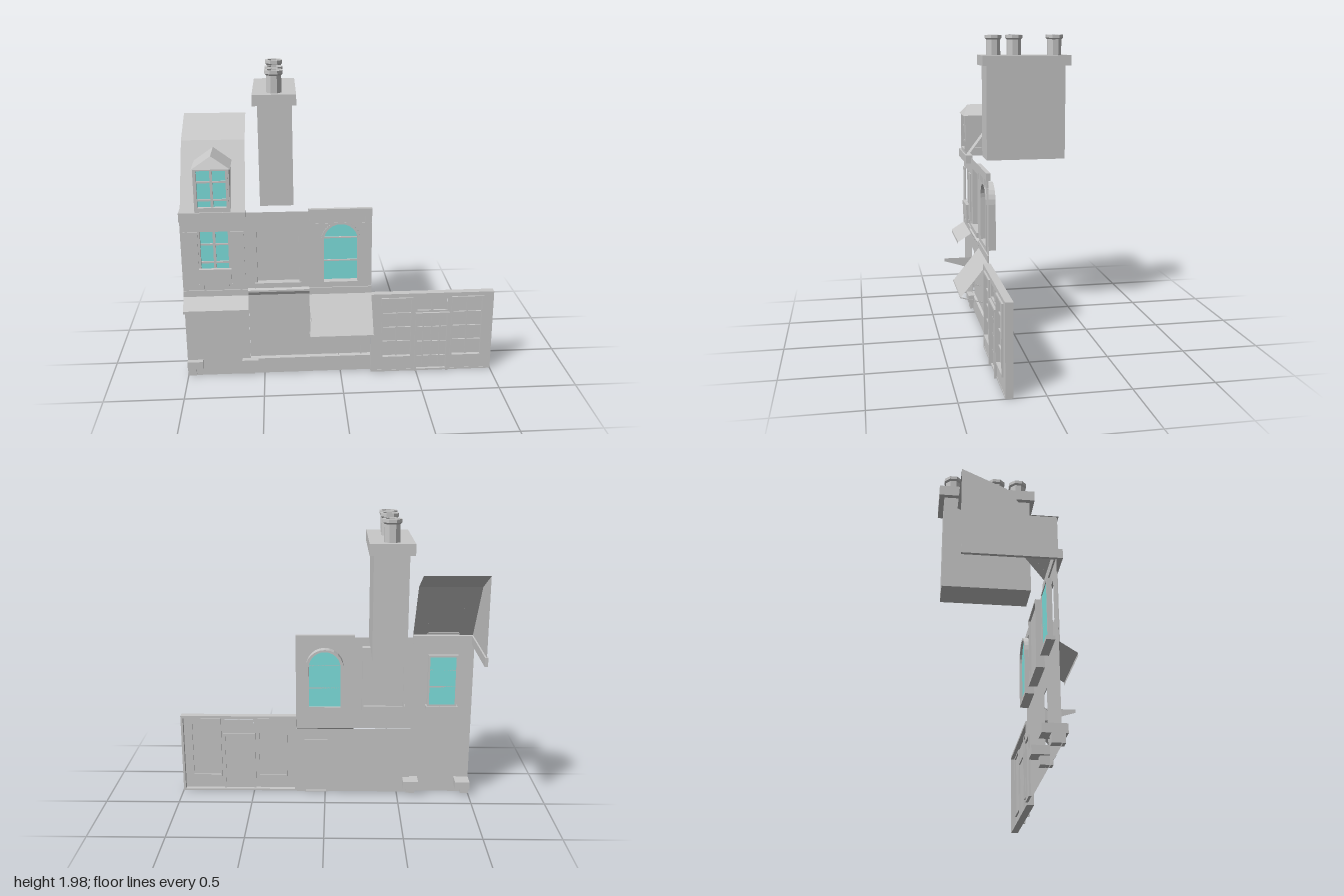
import * as THREE from 'three';

const grey = new THREE.MeshStandardMaterial({ color: 0xc8c8c8, side: THREE.DoubleSide });
grey.name = 'plaster grey';
const cyan = new THREE.MeshStandardMaterial({ color: 0x7fe3e0, side: THREE.DoubleSide });
cyan.name = 'glass cyan';

const WALL = 0.2;

function add(parent, name, geo, mat = grey) {
  const m = new THREE.Mesh(geo, mat);
  m.name = name;
  parent.add(m);
  return m;
}

// box given by its extents
function box(parent, name, x0, x1, y0, y1, z0, z1, mat) {
  const m = add(parent, name, new THREE.BoxGeometry(x1 - x0, y1 - y0, z1 - z0), mat);
  m.position.set((x0 + x1) / 2, (y0 + y1) / 2, (z0 + z1) / 2);
  return m;
}

function path(Type, pts) {
  return new Type(pts.map(p => new THREE.Vector2(p[0], p[1])));
}
const rectPts = (x0, x1, y0, y1) => [[x0, y0], [x1, y0], [x1, y1], [x0, y1]];

// rectangle with a half-round head
function archPts(cx, r, y0, spring) {
  const pts = [[cx - r, y0], [cx + r, y0]];
  for (let i = 0; i <= 12; i++) {
    const a = Math.PI * i / 12;
    pts.push([cx + r * Math.cos(a), spring + r * Math.sin(a)]);
  }
  return pts;
}

function slab(parent, name, outer, holes, z0, z1, mat) {
  const s = path(THREE.Shape, outer);
  s.holes = holes.map(h => path(THREE.Path, h));
  const geo = new THREE.ExtrudeGeometry(s, { depth: z1 - z0, bevelEnabled: false });
  return add(parent, name, geo.translate(0, 0, z0), mat);
}

function sheet(parent, name, outer, holes, z, mat) {
  const s = path(THREE.Shape, outer);
  s.holes = holes.map(h => path(THREE.Path, h));
  return add(parent, name, new THREE.ShapeGeometry(s).translate(0, 0, z), mat);
}

// flat convex faces, each a list of corners
function faces(parent, name, polys) {
  const p = [];
  for (const q of polys)
    for (let i = 1; i < q.length - 1; i++) p.push(...q[0], ...q[i], ...q[i + 1]);
  const g = new THREE.BufferGeometry();
  g.setAttribute('position', new THREE.Float32BufferAttribute(p, 3));
  g.computeVertexNormals();
  return add(parent, name, g);
}

// glazing bars: vertical xs and horizontal ys
function bars(parent, x0, x1, y0, y1, z, xs, ys, t = 0.006) {
  xs.forEach(x => box(parent, 'verticalBar', x - t, x + t, y0, y1, z, z + 0.012));
  ys.forEach(y => box(parent, 'horizontalBar', x0, x1, y - t * 0.7, y + t * 0.7, z, z + 0.01));
}

function casement(parent, x0, x1, y0, y1, z, ys) {
  const g = new THREE.Group();
  g.name = 'casementWindow';
  parent.add(g);
  sheet(g, 'glass', rectPts(x0, x1, y0, y1), [], z, cyan);
  slab(g, 'windowFrame', rectPts(x0 - 0.012, x1 + 0.012, y0 - 0.012, y1 + 0.012), [rectPts(x0, x1, y0, y1)], z - 0.005, z + 0.025);
  bars(g, x0, x1, y0, y1, z, [(x0 + x1) / 2], ys, 0.008);
}

function facade(root) {
  const g = new THREE.Group();
  g.name = 'facade';
  root.add(g);
  sheet(g, 'mainWall',
    [[-1, 0], [-0.59, 0], [-0.59, 0.47], [0.2, 0.47], [0.2, 1.13], [-0.2, 1.13], [-0.2, 1.12], [-0.59, 1.12], [-0.59, 1.08], [-1, 1.08]],
    [rectPts(-0.885, -0.7, 0.65, 1), rectPts(-0.53, -0.26, 0.63, 1.05), archPts(0.003, 0.12, 0.63, 0.92)], WALL);
  sheet(g, 'shopWall', rectPts(-0.59, 0.2, 0, 0.47), [], 0.185);
  faces(g, 'plinth', [
    [[-0.59, 0, 0.197], [0.2, 0, 0.197], [0.2, 0.105, 0.197], [-0.59, 0.105, 0.197]],
    [[-0.59, 0.105, 0.197], [0.2, 0.105, 0.197], [0.2, 0.118, 0.185], [-0.59, 0.118, 0.185]]]);
  slab(g, 'shopDoor', rectPts(-0.015, 0.142, 0, 0.39), [rectPts(-0.007, 0.134, 0.01, 0.38)], 0.173, 0.19);

  // left house window with shutters and planter
  casement(g, -0.88, -0.705, 0.66, 0.995, 0.165, [0.785, 0.905]);
  box(g, 'windowLedge', -0.9, -0.685, 0.625, 0.648, 0.15, 0.21);
  for (const x of [-0.983, -0.695]) box(g, 'shutter', x, x + 0.09, 0.655, 1, WALL, 0.208);
  box(g, 'planter', -0.893, -0.69, 0.65, 0.755, WALL, 0.226);
  for (const x of [-0.875, -0.72]) box(g, 'planterBracket', x - 0.012, x + 0.012, 0.615, 0.65, WALL, 0.222);

  // blind window in the middle house
  sheet(g, 'blindPanel', rectPts(-0.53, -0.26, 0.63, 1.05), [], 0.165);
  slab(g, 'blindFrame', rectPts(-0.54, -0.25, 0.63, 1.06), [rectPts(-0.528, -0.262, 0.64, 1.05)], 0.15, WALL);
  box(g, 'blindSill', -0.545, -0.25, 0.615, 0.648, 0.147, 0.213);

  // arched window
  sheet(g, 'archGlass', archPts(0.003, 0.108, 0.64, 0.925), [], 0.158, cyan);
  slab(g, 'archFrame', archPts(0.003, 0.127, 0.62, 0.92), [archPts(0.003, 0.107, 0.643, 0.925)], 0.143, 0.206);
  bars(g, -0.104, 0.11, 0.64, 1.03, 0.158, [], [0.775, 0.93]);

  // string courses and shop fascia
  box(g, 'stringCourse', -1, -0.59, 0.565, 0.605, WALL, 0.207);
  box(g, 'stringCourse', -0.2, 0.2, 0.56, 0.605, WALL, 0.208);
  const fascia = [[0.2, 0.47], [0.204, 0.47], [0.204, 0.565], [0.216, 0.588], [0.216, 0.6], [0.2, 0.612]];
  const f = fascia.map(([z, y]) => [[-0.59, y, z], [-0.2, y, z]]);
  faces(g, 'shopFascia', f.slice(1).map((b, i) => [f[i][0], f[i][1], b[1], b[0]]));

  // battlement cornice
  box(g, 'rightCornice', -0.2, 0.2, 1.085, 1.135, 0.187, 0.214);
  for (let i = 0; i < 7; i++) {
    const x = -0.195 + i * 0.0585;
    box(g, 'dentil', x, x + 0.038, 1.04, 1.085, WALL, 0.21);
  }
  box(g, 'corniceMoulding', -0.2, 0.2, 1.03, 1.04, WALL, 0.206);

  // stone guards at the wall base
  for (const [x0, x1, a, b] of [[-1, -0.9, -1, -0.945], [-0.645, -0.54, -0.625, -0.565]]) {
    box(g, 'guardStone', x0, x1, 0.06, 0.112, 0.097, 0.235);
    box(g, 'guardFoot', a, b, 0.008, 0.06, 0.147, 0.22);
  }
}

function awnings(root) {
  faces(root, 'leftAwning', [
    [[-1, 0.505, 0.3], [-0.59, 0.505, 0.3], [-0.59, 0.568, WALL], [-1, 0.568, WALL]],
    [[-1, 0.488, 0.3], [-0.59, 0.488, 0.3], [-0.59, 0.505, 0.3], [-1, 0.505, 0.3]]]);
  faces(root, 'rightAwning', [
    [[-0.2, 0.34, 0.382], [0.2, 0.34, 0.382], [0.2, 0.56, 0.204], [-0.2, 0.56, 0.204]]]);
  box(root, 'awningRail', -0.203, 0.203, 0.336, 0.344, 0.376, 0.384);
  for (const x of [-0.2, 0.2]) {
    const arm = box(root, 'awningArm', x - 0.003, x + 0.003, 0.312, 0.318, 0.195, 0.387);
    arm.rotation.x = -0.28;
  }
  faces(root, 'hangingSign', [[[-0.197, 0.495, 0.44], [-0.197, 0.495, WALL], [-0.197, 0.4, WALL], [-0.197, 0.475, 0.44]]]);
}

function mansard(root) {
  const g = new THREE.Group();
  g.name = 'mansardRoof';
  root.add(g);
  const L = -0.99, R = -0.59;
  const prof = [[1.13, 0.225], [1.52, -0.07], [1.64, -0.33]];
  faces(g, 'roofSlopes', [0, 1].map(i => {
    const [a, b] = [prof[i], prof[i + 1]];
    return [[L, ...a], [R, ...a], [R, ...b], [L, ...b]];
  }));
  faces(g, 'gableWall', [[[L, 1.13, -0.33], ...prof.map(p => [L, ...p])]]);
  box(g, 'frontCornice', -1, R, 1.077, 1.135, 0.19, 0.238);
  box(g, 'sideCornice', -1, -0.98, 1.077, 1.135, -0.325, 0.19);

  // dormer with a hipped cap running back into the slope
  const x0 = -0.9, x1 = -0.68, cx = -0.79, zf = 0.228;
  slab(g, 'dormerFront', rectPts(x0, x1, 1.135, 1.41), [rectPts(-0.88, -0.702, 1.16, 1.4)], zf - 0.015, zf);
  for (const x of [x0, x1])
    faces(g, 'dormerSide', [[[x, 1.135, zf], [x, 1.41, zf], [x, 1.41, 0.013], [x, 1.135, 0.221]]]);
  casement(g, -0.88, -0.702, 1.165, 1.4, 0.208, [1.21, 1.325]);
  const eL = [-0.908, 1.41, 0.24], eR = [-0.672, 1.41, 0.24];
  const bL = [-0.908, 1.41, 0.013], bR = [-0.672, 1.41, 0.013];
  const pf = [cx, 1.482, 0.195], pb = [cx, 1.482, -0.041];
  faces(g, 'dormerCap', [[eL, eR, pf], [eR, bR, pb, pf], [bL, eL, pf, pb], [eL, bL, bR, eR]]);
}

function chimney(root) {
  const g = new THREE.Group();
  g.name = 'chimney';
  root.add(g);
  box(g, 'chimneyStack', -0.5, -0.29, 1.14, 1.78, -0.41, 0.133);
  box(g, 'chimneyCap', -0.53, -0.263, 1.777, 1.845, -0.442, 0.162);
  const prof = [[0.05, 0], [0.05, 0.105], [0.06, 0.115], [0.06, 0.135], [0.042, 0.135], [0.038, 0.01], [0, 0.01]]
    .map(p => new THREE.Vector2(...p));
  for (const z of [0.07, -0.073, -0.353]) {
    const geo = new THREE.LatheGeometry(prof, 8, Math.PI / 8).toNonIndexed();
    geo.computeVertexNormals();
    add(g, 'chimneyPot', geo).position.set(-0.396, 1.845, z);
  }
}

function shopfront(root) {
  const g = new THREE.Group();
  g.name = 'shopfront';
  root.add(g);
  const wins = [[0.265, 0.47], [0.725, 0.935]];
  const inner = wins.map(([a, b]) => rectPts(a + 0.01, b - 0.01, 0.112, 0.518));
  // hollow shell: thin front and a deep border
  slab(g, 'shopfrontWall', rectPts(0.205, 0.995, 0, 0.55),
    [...inner, rectPts(0.5, 0.7, 0.005, 0.412), rectPts(0.5, 0.7, 0.435, 0.52)], 0.222, 0.235);
  slab(g, 'shopfrontBorder', rectPts(0.2, 1, 0, 0.557), [rectPts(0.215, 0.985, 0.012, 0.54)], 0.19, 0.237);
  wins.forEach(([a, b], i) => {
    slab(g, 'displayFrame', rectPts(a, b, 0.1, 0.53), [inner[i]], 0.21, 0.246);
    sheet(g, 'displayPane', inner[i], [], 0.22);
    bars(g, a + 0.01, b - 0.01, 0.112, 0.518, 0.22, [(a + b) / 2], [0.215, 0.315, 0.415], 0.004);
  });
  sheet(g, 'doorPane', rectPts(0.5, 0.7, 0, 0.52), [], 0.218);
  bars(g, 0.5, 0.7, 0.02, 0.412, 0.218, [0.545, 0.6, 0.655], [0.1, 0.205, 0.31], 0.005);
  bars(g, 0.5, 0.7, 0.435, 0.52, 0.218, [0.6], [], 0.008);
  slab(g, 'doorFrame', [[0.488, 0], [0.502, 0], [0.502, 0.41], [0.698, 0.41], [0.698, 0], [0.712, 0], [0.712, 0.422], [0.488, 0.422]], [], 0.21, 0.25);
}

export function createModel() {
  const root = new THREE.Group();
  root.name = 'streetFacade';
  facade(root);
  awnings(root);
  mansard(root);
  chimney(root);
  shopfront(root);
  return root;
}
